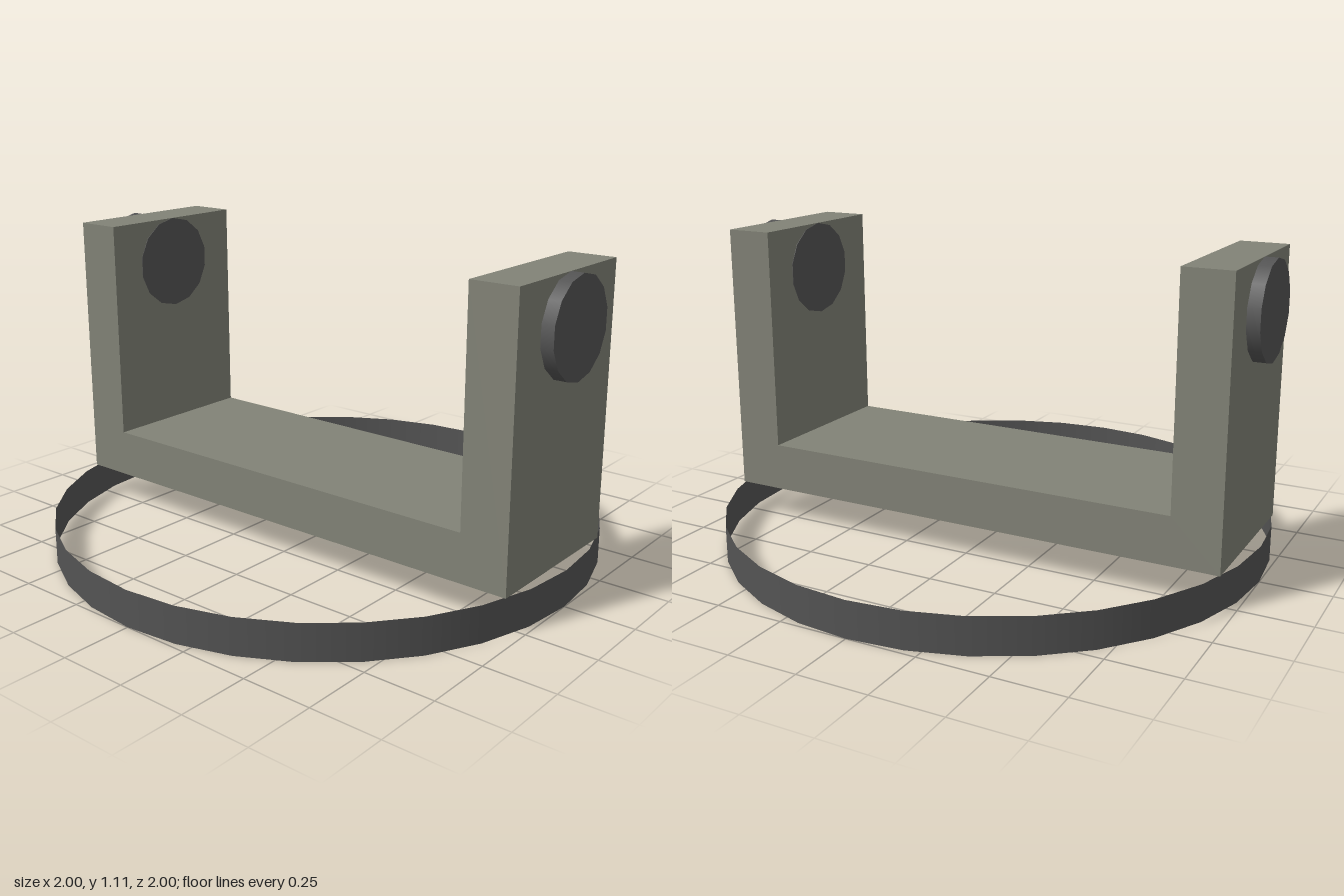
import * as THREE from 'three';

export function createModel() {
  const model = new THREE.Group();
  model.name = 'yokeMount';

  const bracketGrey = new THREE.MeshStandardMaterial({ color: 0x828377 });
  bracketGrey.name = 'warm grey';
  const darkGrey = new THREE.MeshStandardMaterial({ color: 0x545454, side: THREE.DoubleSide });
  darkGrey.name = 'dark grey';

  const add = (name, geometry, material) => {
    const mesh = new THREE.Mesh(geometry, material);
    mesh.name = name;
    model.add(mesh);
    return mesh;
  };

  // Open base ring, a thin band
  const ringHeight = 0.13;
  add('baseRing', new THREE.CylinderGeometry(1, 1, ringHeight, 32, 1, true), darkGrey)
    .position.y = ringHeight / 2;

  // U-shaped bracket, extruded along z
  const outer = 0.955, inner = 0.782, floor = 0.303, top = 1.108, depth = 0.606;
  const profile = new THREE.Shape([
    [-outer, ringHeight], [outer, ringHeight], [outer, top], [inner, top],
    [inner, floor], [-inner, floor], [-inner, top], [-outer, top],
  ].map(([x, y]) => new THREE.Vector2(x, y)));
  const bracket = new THREE.ExtrudeGeometry(profile, { depth, bevelEnabled: false });
  bracket.translate(0, 0, -depth / 2);
  add('bracket', bracket, bracketGrey);

  // Pivot pins running through each arm, just showing on the inner faces
  const radius = 0.172, pinInner = inner - 0.002;
  for (const [name, side] of [['leftPivot', 1], ['rightPivot', -1]]) {
    const pin = new THREE.CylinderGeometry(radius, radius, 1 - pinInner, 14);
    pin.rotateY(Math.PI / 2).rotateZ(Math.PI / 2);
    add(name, pin, darkGrey).position.set(side * (1 + pinInner) / 2, top - radius, 0);
  }

  return model;
}
